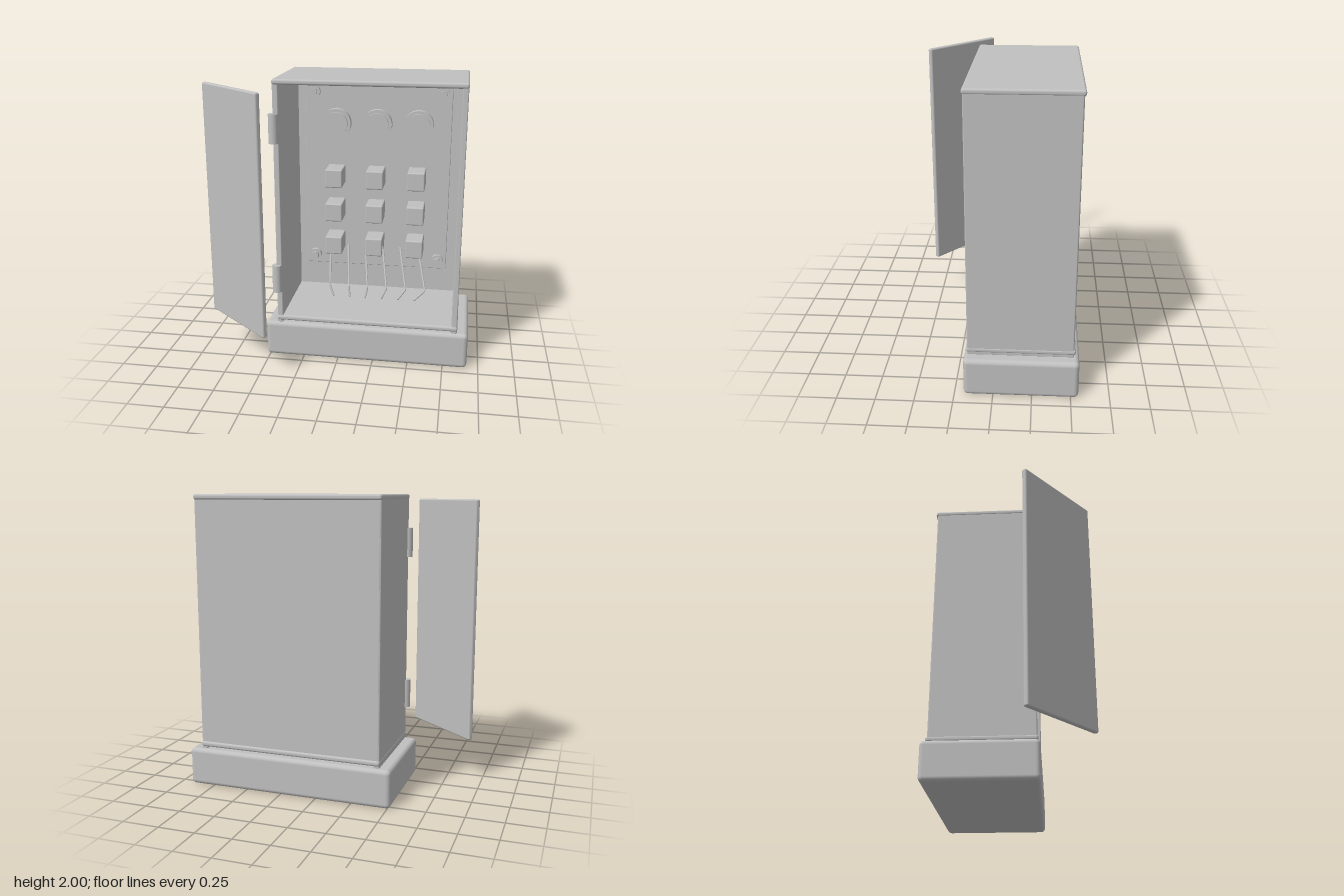
import * as THREE from 'three';
import { RoundedBoxGeometry } from 'three/addons/geometries/RoundedBoxGeometry.js';

export function createModel() {
  const model = new THREE.Group();
  model.name = 'controlCabinet';
  const grey = new THREE.MeshStandardMaterial({ color: 0xc0c0c0 });
  grey.name = 'paintedGrey';

  const add = (name, geometry, parent = model) => {
    const mesh = new THREE.Mesh(geometry, grey);
    mesh.name = name;
    parent.add(mesh);
    return mesh;
  };

  // Softened box given by its limits on each axis
  const box = (name, [x0, x1], [y0, y1], [z0, z1], r) => {
    const mesh = add(name, new RoundedBoxGeometry(x1 - x0, y1 - y0, z1 - z0, 3, r));
    mesh.position.set((x0 + x1) / 2, (y0 + y1) / 2, (z0 + z1) / 2);
    return mesh;
  };

  // Disc or prism whose axis points to the front
  const disc = (name, x, y, z0, z1, r, sides = 40) => {
    const geometry = new THREE.CylinderGeometry(r, r, z1 - z0, sides).rotateX(Math.PI / 2);
    add(name, geometry).position.set(x, y, (z0 + z1) / 2);
  };

  // Plinth and open-fronted housing
  box('plinth', [-0.52, 0.92], [0, 0.26], [-0.55, 0.19], 0.03);
  box('topPanel', [-0.443, 0.845], [1.963, 2], [-0.527, 0.177], 0.015);
  box('bottomPanel', [-0.443, 0.845], [0.273, 0.31], [-0.527, 0.177], 0.015);
  box('rightSide', [-0.44, -0.4], [0.255, 1.985], [-0.515, 0.17], 0.008);
  box('leftSide', [0.802, 0.842], [0.255, 1.985], [-0.515, 0.17], 0.008);
  box('backPanel', [-0.435, 0.837], [0.275, 1.985], [-0.517, -0.472], 0.008);

  // Mounting plate
  const plateFront = -0.415;
  box('mountingPlate', [-0.333, 0.735], [0.51, 1.905], [-0.474, plateFront], 0.004);

  // Bolts with washers in the plate corners
  for (const x of [-0.267, 0.668]) {
    for (const y of [0.58, 1.84]) {
      disc('boltWasher', x, y, plateFront - 0.005, -0.385, 0.045, 32);
      disc('boltHead', x, y, -0.39, -0.36, 0.029, 6);
    }
  }

  // Gauges and push buttons in three columns
  for (const x of [-0.1, 0.2, 0.5]) {
    disc('gaugeBody', x, 1.615, plateFront - 0.005, -0.365, 0.107);
    disc('gaugeFace', x, 1.615, -0.37, -0.345, 0.085);
    for (const y of [1.23, 0.972, 0.715]) {
      box('button', [x - 0.063, x + 0.063], [y - 0.068, y + 0.068], [plateFront - 0.005, -0.235], 0.01);
    }
  }

  // Bent wires: x at the top, at the bend and at the loose end
  const wires = [
    [-0.13, -0.1, -0.07], [0.005, 0.04, 0.05], [0.135, 0.178, 0.165],
    [0.265, 0.318, 0.285], [0.395, 0.458, 0.405], [0.53, 0.598, 0.525],
  ];
  for (const [top, bend, end] of wires) {
    const a = new THREE.Vector3(top, 0.705, -0.29);
    const b = new THREE.Vector3(bend, 0.46, -0.08);
    const c = new THREE.Vector3(end, 0.392, -0.06);
    const path = new THREE.CurvePath();
    path.add(new THREE.LineCurve3(a, b));
    path.add(new THREE.LineCurve3(b, c));
    add('wire', new THREE.TubeGeometry(path, 24, 0.007, 8));
    for (const p of [a, c]) {
      add('wireTip', new THREE.SphereGeometry(0.007, 8, 6)).position.copy(p);
    }
  }

  // Hinge barrels on the right front edge
  for (const y of [0.595, 1.67]) {
    add('hinge', new THREE.CylinderGeometry(0.034, 0.034, 0.2, 32)).position.set(-0.436, y, 0.168);
  }

  // Door standing open
  const door = add('door', new RoundedBoxGeometry(0.643, 1.66, 0.036, 3, 0.012));
  door.position.set(-0.68, 1.135, 0.325);
  door.rotation.y = -0.715;

  return model;
}
